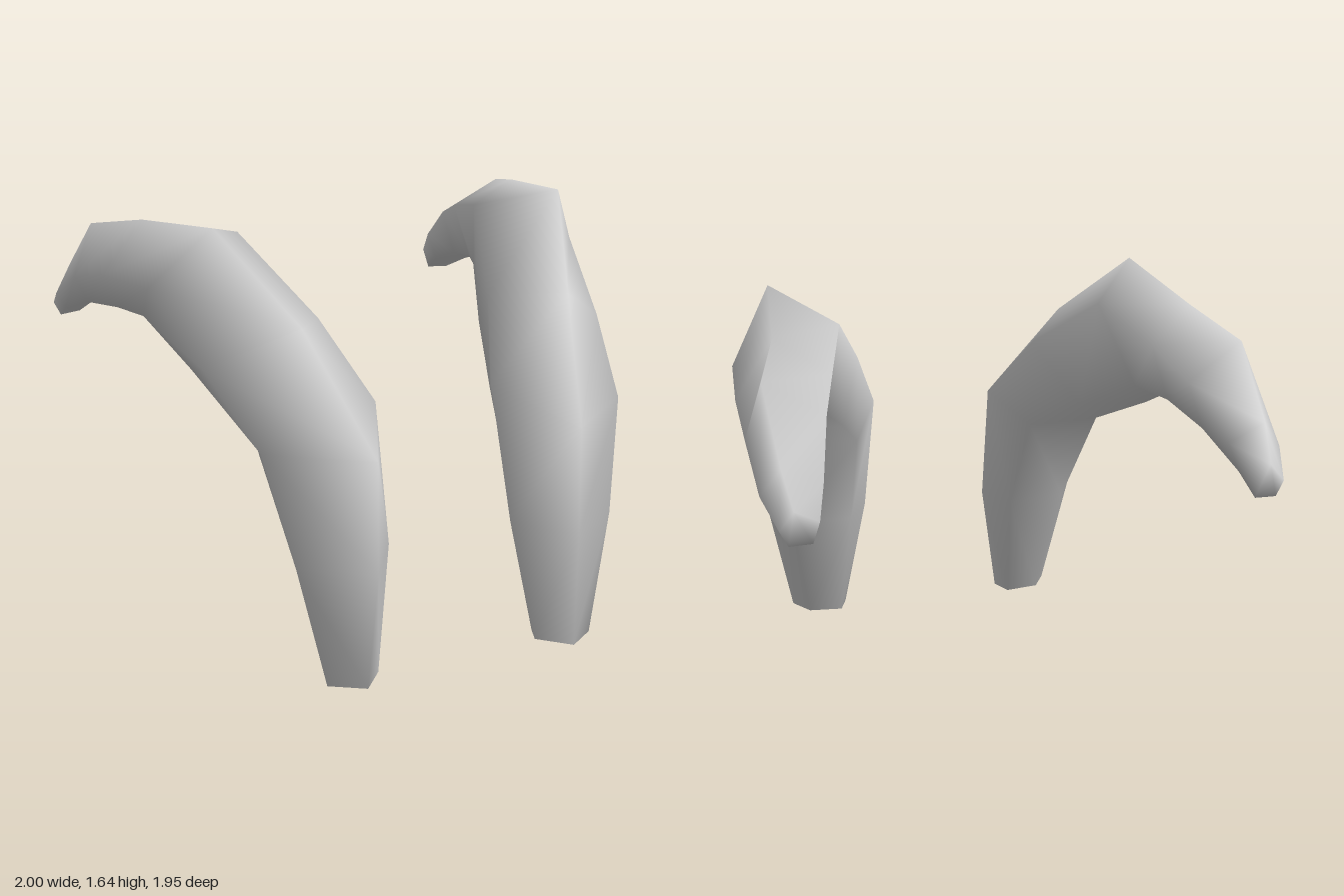
import * as THREE from 'three';

// Five-sided cross-sections from base to tip, each given by its
// outer ridge, outward side, inward side and middle of the hollow of the curve.
const sections = [
  [[0.45, 0, 0.93], [0.575, 0, 0.84], [0.345, 0, 0.81], [0.45, 0, 0.735]],
  [[0.43, 0.47, 0.975], [0.68, 0.47, 0.80], [0.265, 0.48, 0.74], [0.48, 0.47, 0.63]],
  [[0.43, 0.90, 0.97], [0.77, 0.90, 0.70], [0.25, 1.0, 0.60], [0.53, 0.90, 0.41]],
  [[0.57, 1.33, 0.63], [0.86, 1.15, 0.39], [0.37, 1.28, 0.36], [0.64, 1.08, 0.09]],
  [[0.75, 1.645, 0.25], [0.935, 1.39, 0.05], [0.525, 1.55, -0.03], [0.75, 1.24, -0.18]],
  [[0.83, 1.585, -0.25], [0.985, 1.37, -0.30], [0.63, 1.47, -0.38], [0.81, 1.235, -0.35]],
  [[0.93, 1.52, -0.55], [1.0, 1.31, -0.57], [0.70, 1.39, -0.60], [0.85, 1.195, -0.60]],
  [[0.92, 1.29, -0.84], [0.995, 1.18, -0.81], [0.77, 1.23, -0.86], [0.88, 1.11, -0.85]],
  [[0.90, 1.17, -0.96], [0.955, 1.10, -0.96], [0.81, 1.13, -0.975], [0.88, 1.045, -0.97]],
];
const SIDES = 5;

function ring([ridge, outer, inner, back]) {
  const [r, o, i, b] = [ridge, outer, inner, back].map((p) => new THREE.Vector3(...p));
  const half = o.clone().sub(i).multiplyScalar(0.3);
  if (r.y > 0) half.y *= 0.3;
  return [r, o, b.clone().add(half), b.clone().sub(half), i];
}

function hornGeometry(side) {
  const positions = [];
  const index = [];
  const face = (a, b, c) => (side > 0 ? index.push(a, b, c) : index.push(a, c, b));

  for (const section of sections) {
    for (const p of ring(section)) positions.push(p.x * side, p.y, p.z);
  }
  // skin between neighbouring sections
  for (let s = 0; s < sections.length - 1; s++) {
    for (let j = 0; j < SIDES; j++) {
      const a = s * SIDES + j;
      const b = s * SIDES + ((j + 1) % SIDES);
      face(a, b, b + SIDES);
      face(a, b + SIDES, a + SIDES);
    }
  }
  // closed base and tip
  const tip = (sections.length - 1) * SIDES;
  for (let j = 1; j < SIDES - 1; j++) {
    face(0, j + 1, j);
    face(tip, tip + j, tip + j + 1);
  }
  const geometry = new THREE.BufferGeometry();
  geometry.setAttribute('position', new THREE.Float32BufferAttribute(positions, 3));
  geometry.setIndex(index);
  geometry.computeVertexNormals();
  return geometry;
}

export function createModel() {
  const group = new THREE.Group();
  group.name = 'hornPair';
  const material = new THREE.MeshStandardMaterial({ color: 0xcccccc });
  for (const [name, side] of [['leftHorn', 1], ['rightHorn', -1]]) {
    const horn = new THREE.Mesh(hornGeometry(side), material);
    horn.name = name;
    group.add(horn);
  }
  return group;
}
